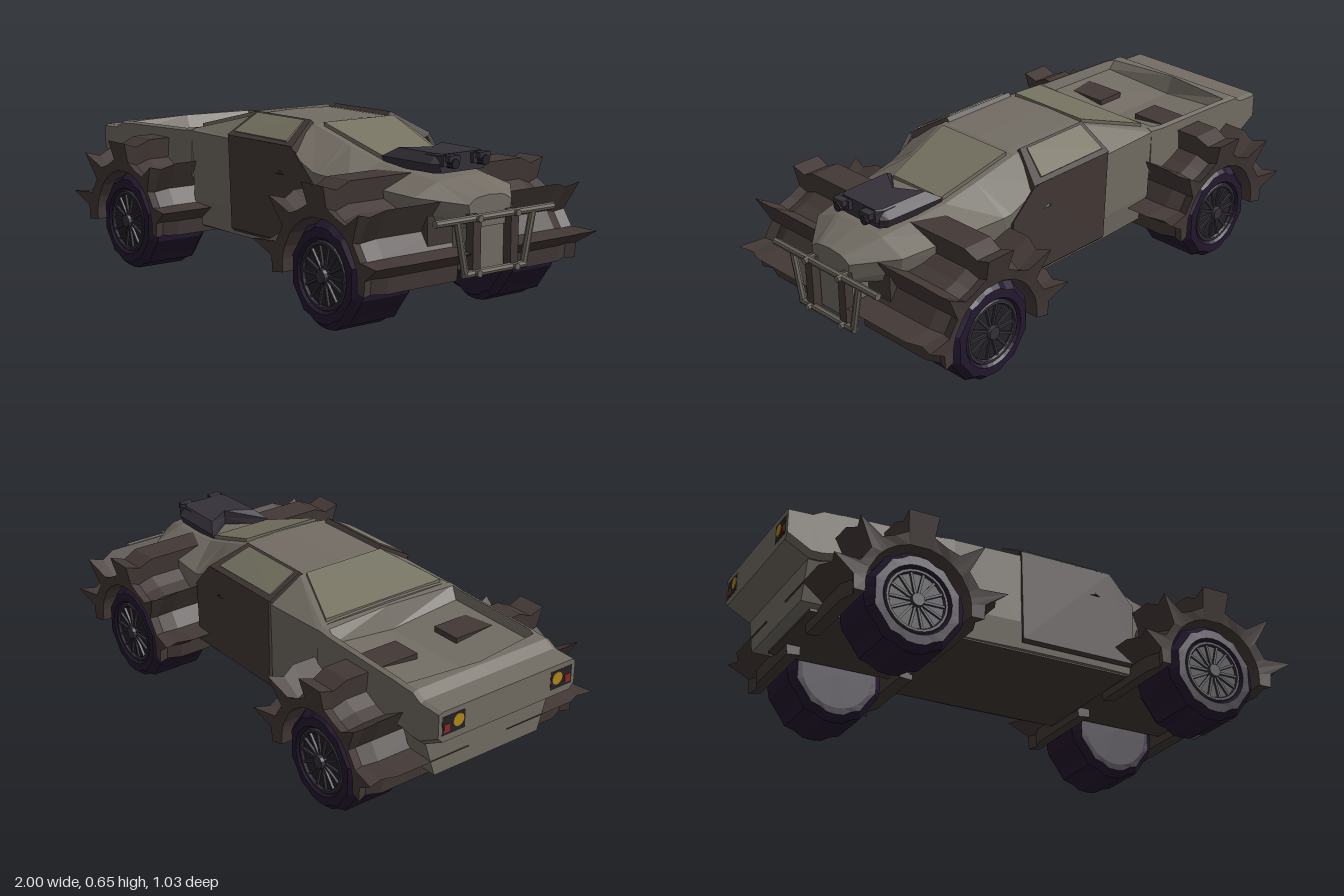
import * as THREE from 'three';
import { ConvexGeometry } from 'three/addons/geometries/ConvexGeometry.js';

const mat = (color, side = THREE.FrontSide) => new THREE.MeshStandardMaterial({ color, flatShading: true, side });
const paint = mat(0x736d64), brown = mat(0x433936), glass = mat(0x767362), rubber = mat(0x24182f, THREE.DoubleSide);
const dark = mat(0x242226), gunMetal = mat(0x353039), pipe = mat(0x6d675e), amber = mat(0xb58a1c), red = mat(0x8c2a22);

function add(parent, name, geometry, material, x = 0, y = 0, z = 0) {
  const m = new THREE.Mesh(geometry, material);
  m.name = name;
  m.position.set(x, y, z);
  parent.add(m);
  return m;
}
const box = (w, h, d) => new THREE.BoxGeometry(w, h, d);
const hull = (pts) => new ConvexGeometry(pts.map((p) => new THREE.Vector3(...p)));

// Skin a list of closed rings of points and cap both ends
function loft(rings) {
  const n = rings[0].length, last = rings.length - 1, v = [];
  const tri = (...p) => p.forEach((q) => v.push(...q));
  for (let i = 0; i < last; i++) {
    for (let j = 0; j < n; j++) {
      const k = (j + 1) % n;
      tri(rings[i][j], rings[i + 1][j], rings[i][k]);
      tri(rings[i + 1][j], rings[i + 1][k], rings[i][k]);
    }
  }
  for (let j = 1; j < n - 1; j++) {
    tri(rings[0][0], rings[0][j], rings[0][j + 1]);
    tri(rings[last][0], rings[last][j + 1], rings[last][j]);
  }
  const g = new THREE.BufferGeometry();
  g.setAttribute('position', new THREE.Float32BufferAttribute(v, 3));
  g.computeVertexNormals();
  return g;
}

// Round bar between two points
function bar(parent, name, a, b, r, material) {
  const p = new THREE.Vector3(...a), q = new THREE.Vector3(...b);
  const m = add(parent, name, new THREE.CylinderGeometry(r, r, p.distanceTo(q), 8), material);
  m.position.copy(p).add(q).multiplyScalar(0.5);
  m.quaternion.setFromUnitVectors(new THREE.Vector3(0, 1, 0), q.sub(p).normalize());
}

// Mirrored body cross-section from half points (half width, height); the top centre may bend along x
function section(x, yBottom, half, yTop, bend = 0) {
  const side = (s) => half.map(([z, y]) => [x, y, z * s]);
  return [[x, yBottom, 0], ...side(1), [x + bend, yTop, 0], ...side(-1).reverse()];
}

// Rear deck: bottom, top, depth of the recessed bed, bend of the bed edge
const deckSection = ([x, bottom, top, drop, bend]) => section(x, bottom,
  [[0.29, bottom], [0.31, bottom + 0.02], [0.31, top - 0.007], [0.293, top], [0.283, top - drop / 2]], top - drop, bend);

// Cabin and hood: bottom, sill, belt line and upper edge
const cabinSection = ([x, bottom, sill, beltZ, beltY, roofZ, roofY]) => section(x, bottom,
  [[beltZ - 0.025, bottom], [beltZ - 0.01, sill], [beltZ, beltY], [roofZ, roofY], [roofZ * 0.8, roofY + 0.004]], roofY + 0.009);

const deckGeometry = () => loft([
  [-1, 0.4, 0.515, 0, 0], [-0.91, 0.35, 0.518, 0, 0], [-0.87, 0.35, 0.54, 0, 0], [-0.82, 0.36, 0.542, 0, -0.035],
  [-0.79, 0.36, 0.545, 0.07, -0.035], [-0.42, 0.36, 0.558, 0.08, 0.02], [-0.39, 0.36, 0.562, 0, 0.02], [-0.36, 0.36, 0.565, 0, 0],
].map(deckSection));

const cabinGeometry = () => loft([
  [-0.36, 0.19, 0.29, 0.31, 0.555, 0.29, 0.564], [-0.1, 0.19, 0.29, 0.32, 0.555, 0.19, 0.634],
  [0.25, 0.19, 0.29, 0.32, 0.555, 0.19, 0.632], [0.39, 0.19, 0.29, 0.312, 0.49, 0.17, 0.584],
  [0.42, 0.36, 0.38, 0.308, 0.485, 0.165, 0.573], [0.55, 0.36, 0.4, 0.285, 0.475, 0.145, 0.53],
  [0.82, 0.36, 0.4, 0.225, 0.45, 0.12, 0.494], [0.95, 0.35, 0.37, 0.1, 0.43, 0.07, 0.448],
].map(cabinSection));

// Jagged arch swept around the wheel, with flared spike tips
function fenderGeometry() {
  const half = [[-6, 0.25], [7, 0.255], [14, 0.345], [21, 0.245], [38, 0.24], [46, 0.35],
    [53, 0.25], [65, 0.24], [78, 0.25], [79.5, 0.328]];
  const keys = [...half, ...half.slice().reverse().map(([a, r]) => [180 - a, r])];
  return loft(keys.map(([deg, r]) => {
    const a = deg * Math.PI / 180, flare = r > 0.3 ? 0.515 : 0.495;
    const profile = [[0.485, 0.2], [0.09, 0.2], [0.09, r], [0.4, r], [0.455, r * 0.92], [flare, r * 0.98]];
    return profile.map(([z, q]) => [q * Math.cos(a), q * Math.sin(a), z]);
  }));
}

// Tyre, rim and spokes; outside faces +z
function wheel() {
  const g = new THREE.Group();
  g.name = 'wheel';
  const profile = [[0, -0.13], [0.14, -0.13], [0.165, -0.128], [0.188, -0.1], [0.188, 0.1], [0.165, 0.128],
    [0.13, 0.13], [0.118, 0.115], [0, 0.1]].map((p) => new THREE.Vector2(...p));
  const tyre = new THREE.LatheGeometry(profile, 30).rotateX(Math.PI / 2);
  // Shallow grooves between tread lugs
  const p = tyre.attributes.position;
  for (let i = 0; i < p.count; i++) {
    const r = Math.hypot(p.getX(i), p.getY(i));
    const slot = Math.round(Math.atan2(p.getY(i), p.getX(i)) / (Math.PI / 15) + 30);
    if (r > 0.16 && slot % 3 === 0) p.setXY(i, p.getX(i) * 0.95, p.getY(i) * 0.95);
  }
  add(g, 'tyre', tyre, rubber);
  add(g, 'rimDisc', new THREE.CylinderGeometry(0.113, 0.113, 0.01, 24).rotateX(Math.PI / 2), dark, 0, 0, 0.108);
  add(g, 'rimRing', new THREE.TorusGeometry(0.112, 0.009, 6, 24), gunMetal, 0, 0, 0.118);
  add(g, 'hub', new THREE.CylinderGeometry(0.024, 0.03, 0.025, 12).rotateX(Math.PI / 2), gunMetal, 0, 0, 0.122);
  for (let i = 0; i < 14; i++) {
    const spoke = add(g, 'spoke', box(0.085, 0.009, 0.012).translate(0.065, 0, 0), gunMetal, 0, 0, 0.116);
    spoke.rotation.z = i * Math.PI / 7;
  }
  return g;
}

// Hood gun: notched housing with chamfered top and twin barrels
function hoodGun() {
  const g = new THREE.Group();
  g.name = 'hoodGun';
  const s = new THREE.Shape([[0.55, -0.135], [0.66, 0], [0.55, 0.135], [0.79, 0.13], [0.815, 0.11], [0.815, -0.11], [0.79, -0.13]]
    .reverse().map((p) => new THREE.Vector2(...p)));
  const geo = new THREE.ExtrudeGeometry(s, { depth: 0.065, steps: 2, bevelEnabled: false }).rotateX(-Math.PI / 2);
  const p = geo.attributes.position;
  for (let i = 0; i < p.count; i++) {
    const level = p.getY(i);
    if (level > 0.05) p.setXYZ(i, Math.max(p.getX(i), 0.6), level, p.getZ(i) * 0.75);
    if (level < 0.01) p.setZ(i, p.getZ(i) * 0.9);
  }
  add(g, 'gunHousing', geo, gunMetal, 0, 0.518, 0);
  for (const z of [-0.07, 0.07]) {
    add(g, 'barrelShroud', box(0.09, 0.035, 0.07), gunMetal, 0.785, 0.56, z);
    bar(g, 'barrel', [0.8, 0.553, z], [0.855, 0.553, z], 0.018, dark);
    add(g, 'barrelBlock', box(0.03, 0.022, 0.05), gunMetal, 0.835, 0.57, z);
  }
  return g;
}

// Tapered block, mirrored across z: rear and front [x, lower half width, upper half width]
const taperBlock = (ends, low, high) => hull([-1, 1].flatMap((s) =>
  ends.flatMap(([x, zLow, zHigh]) => [[x, low, zLow * s], [x, high, zHigh * s]])));

// Centre pane between two edges given as [x, y, half width]
const pane = (...edges) => hull([-1, 1].flatMap((s) =>
  edges.flatMap(([x, y, z]) => [[x, y, z * s], [x, y - 0.02, z * s]])));

// Thin side panel through the given corners
const slab = (s, d, pts) => hull(pts.flatMap(([x, y, z]) => [[x, y, z * s], [x, y - d, (z - d) * s]]));

// Parts that repeat on each side
function addSide(car, s) {
  add(car, 'door', slab(s, 0.012, [[-0.085, 0.22, 0.322], [-0.095, 0.57, 0.328], [0.285, 0.57, 0.328],
    [0.39, 0.46, 0.32], [0.38, 0.22, 0.32]]), brown);
  add(car, 'doorFrame', slab(s, 0.02, [[-0.1, 0.57, 0.328], [0.29, 0.565, 0.328], [0.225, 0.648, 0.19], [-0.1, 0.648, 0.19]]), brown);
  add(car, 'sideWindow', slab(s, 0.01, [[-0.08, 0.585, 0.312], [0.24, 0.583, 0.312], [0.2, 0.646, 0.202], [-0.08, 0.646, 0.202]]), glass);
  add(car, 'doorHandle', hull([[0.16, 0.46, 0.32 * s], [0.215, 0.485, 0.322 * s], [0.265, 0.46, 0.32 * s],
    [0.22, 0.465, 0.332 * s]]), dark);

  // Wheels and jagged fenders
  const turn = s > 0 ? 0 : Math.PI;
  for (const x of [-0.58, 0.64]) {
    const w = wheel();
    w.position.set(x, 0.188, 0.345 * s);
    w.rotation.y = turn;
    car.add(w);
    add(car, 'fender', fenderGeometry(), brown, x, 0.188, 0).rotation.y = turn;
  }

  // Tail lights
  add(car, 'lightPanel', box(0.008, 0.07, 0.1), dark, -0.997, 0.46, 0.245 * s);
  add(car, 'roundLight', new THREE.CylinderGeometry(0.024, 0.024, 0.01, 12).rotateZ(Math.PI / 2), amber, -0.998, 0.465, 0.225 * s);
  add(car, 'smallLight', box(0.01, 0.03, 0.025), red, -0.998, 0.45, 0.275 * s);

  // Bull bar uprights
  bar(car, 'guardBrace', [0.975, 0.385, 0.175 * s], [0.975, 0.2, 0.135 * s], 0.013, pipe);
  add(car, 'guardPost', box(0.035, 0.2, 0.036), brown, 0.962, 0.3, 0.088 * s);
  for (const y of [0.205, 0.39]) bar(car, 'guardPeg', [0.94, y, 0.088 * s], [0.998, y, 0.088 * s], 0.012, pipe);
}

export function createModel() {
  const car = new THREE.Group();
  car.name = 'armedCar';
  add(car, 'rearDeck', deckGeometry(), paint);
  add(car, 'cabinAndHood', cabinGeometry(), paint);
  add(car, 'chassis', box(1.72, 0.19, 0.4), brown, 0, 0.295, 0);
  add(car, 'bellyPanel', box(0.72, 0.02, 0.56), brown, 0.02, 0.195, 0);
  add(car, 'rearValance', taperBlock([[-0.91, 0.24, 0.29], [-0.8, 0.24, 0.29]], 0.21, 0.37), paint);
  add(car, 'noseFrame', taperBlock([[0.82, 0.09, 0.09], [0.94, 0.08, 0.08]], 0.2, 0.4), paint);
  add(car, 'windscreen', pane([0.27, 0.641, 0.165], [0.55, 0.548, 0.125]), glass);
  add(car, 'rearWindow', pane([-0.35, 0.581, 0.265], [-0.115, 0.646, 0.172]), glass);
  for (const s of [-1, 1]) addSide(car, s);
  bar(car, 'guardTopBar', [0.975, 0.39, -0.275], [0.975, 0.39, 0.275], 0.013, pipe);
  bar(car, 'guardLowerBar', [0.975, 0.205, -0.145], [0.975, 0.205, 0.145], 0.013, pipe);
  car.add(hoodGun());
  return car;
}
